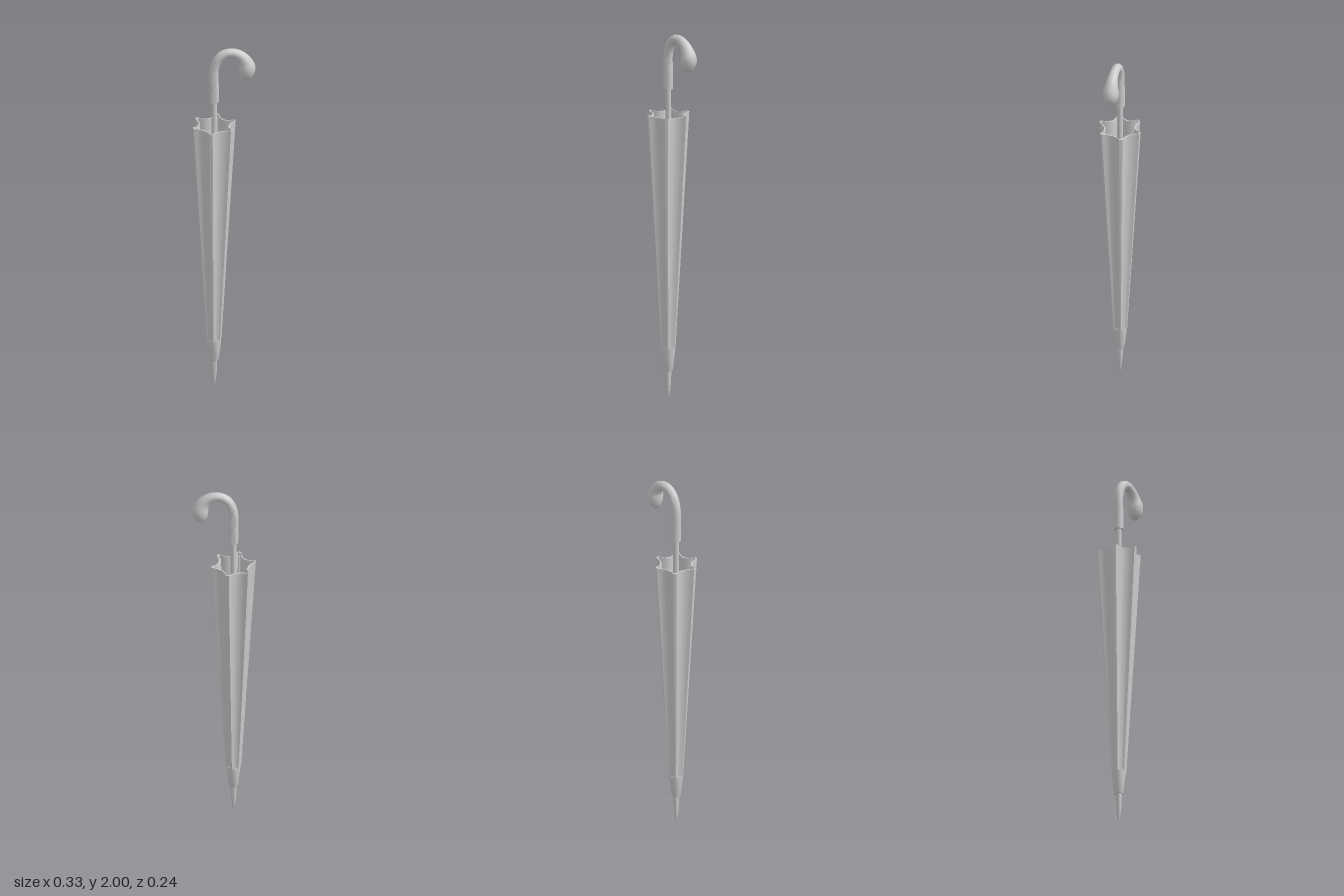
import * as THREE from 'three';
import { toCreasedNormals } from 'three/addons/utils/BufferGeometryUtils.js';

const AXIS_X = -0.05, AXIS_Z = 0.005, RIBS = 6;
const CANOPY_LOW = 0.28, CANOPY_TOP = 1.552;
const firstRib = THREE.MathUtils.degToRad(-18);
const material = new THREE.MeshStandardMaterial({ color: 0xcccccc, side: THREE.DoubleSide });

function add(parent, name, geometry) {
  const mesh = new THREE.Mesh(geometry, material);
  mesh.name = name;
  parent.add(mesh);
  return mesh;
}

// Skin a list of closed rings of points
function loft(rings, crease) {
  const n = rings[0].length, index = [];
  for (let i = 0; i < rings.length - 1; i++) {
    for (let j = 0; j < n; j++) {
      const a = i * n + j, b = i * n + (j + 1) % n;
      index.push(a, a + n, b, b, a + n, b + n);
    }
  }
  const g = new THREE.BufferGeometry().setFromPoints(rings.flat());
  g.setIndex(index);
  return toCreasedNormals(g, crease);
}

function lathe(points, sides) {
  const g = new THREE.LatheGeometry(points.map(([r, y]) => new THREE.Vector2(r, y)), sides);
  return toCreasedNormals(g, 0.6);
}

// One fold of the cloth: [angle as a fraction of the period, radius at the rim]
const fold = [[-0.5, 0.083], [-0.36, 0.086], [-0.24, 0.092], [-0.15, 0.102], [-0.07, 0.119],
  [0.07, 0.119], [0.15, 0.102], [0.24, 0.092], [0.36, 0.086]];

function canopyRing(t, inset) {
  const ring = [];
  for (let k = 0; k < RIBS; k++) {
    for (const [f, rim] of fold) {
      const a = firstRib + (k + f) * Math.PI * 2 / RIBS;
      const low = 0.033 + (rim - 0.083) * 0.22;
      const r = THREE.MathUtils.lerp(low, rim, t) - inset;
      const wave = t === 1 ? (rim - 0.1) * 0.2 : 0;
      const y = THREE.MathUtils.lerp(CANOPY_LOW, CANOPY_TOP, t) + wave;
      ring.push(new THREE.Vector3(Math.cos(a) * r, y, Math.sin(a) * r));
    }
  }
  return ring;
}

// Curved grip: [x, y, radius] along the path, relative to the shaft
const grip = [[0, 1.69, 0.025], [0, 1.78, 0.025], [0, 1.88, 0.024], [0.02, 1.938, 0.024],
  [0.05, 1.967, 0.024], [0.09, 1.976, 0.024], [0.132, 1.961, 0.027], [0.162, 1.928, 0.034],
  [0.175, 1.888, 0.043], [0.172, 1.853, 0.038], [0.169, 1.832, 0.027], [0.168, 1.815, 0.01]];

function gripGeometry() {
  const path = new THREE.CatmullRomCurve3(grip.map(([x, y]) => new THREE.Vector3(x, y, 0)), false, 'centripetal');
  const radii = new THREE.CatmullRomCurve3(grip.map((p, i) => new THREE.Vector3(i, p[2], 0)));
  const steps = (grip.length - 1) * 3, sides = 14, rings = [];
  const ringAt = (t, scale) => {
    const c = path.getPoint(t), d = path.getTangent(t), r = radii.getPoint(t).y * scale;
    return Array.from({ length: sides }, (_, j) => {
      const a = j / sides * Math.PI * 2, u = Math.cos(a) * r;
      return new THREE.Vector3(c.x + d.y * u, c.y - d.x * u, Math.sin(a) * r);
    });
  };
  rings.push(ringAt(0, 0));
  for (let i = 0; i <= steps; i++) rings.push(ringAt(i / steps, 1));
  rings.push(ringAt(1, 0));
  return loft(rings, 0.9);
}

export function createModel() {
  const model = new THREE.Group();
  model.name = 'closedUmbrella';
  const body = new THREE.Group();
  body.name = 'umbrellaBody';
  body.position.set(AXIS_X, 0, AXIS_Z);
  model.add(body);

  // Pleated cloth with thickness and a wavy rim
  add(body, 'canopy', loft([canopyRing(0, 0), canopyRing(0.5, 0), canopyRing(1, 0),
    canopyRing(1, 0.007), canopyRing(0.5, 0.006), canopyRing(0, 0.005)], 0.7));

  // Ribs lying inside the fold crests
  const ribs = new THREE.Group();
  ribs.name = 'ribs';
  body.add(ribs);
  for (let k = 0; k < RIBS; k++) {
    const a = firstRib + k * Math.PI * 2 / RIBS;
    const low = new THREE.Vector3(Math.cos(a) * 0.026, 0.3, Math.sin(a) * 0.026);
    const high = new THREE.Vector3(Math.cos(a) * 0.105, 1.535, Math.sin(a) * 0.105);
    const holder = new THREE.Group();
    holder.rotation.y = -a;
    const rib = add(holder, 'rib', new THREE.BoxGeometry(0.009, low.distanceTo(high), 0.009));
    rib.position.set(0.0655, 0.9175, 0);
    rib.rotation.z = -Math.atan2(0.079, 1.235);
    ribs.add(holder);
  }

  // Shaft, collar and ferrule
  add(body, 'shaft', new THREE.CylinderGeometry(0.015, 0.015, 1.55, 16)).position.y = 0.925;
  add(body, 'collar', lathe([[0, 0.155], [0.022, 0.155], [0.025, 0.165], [0.037, 0.275],
    [0.037, 0.285], [0, 0.285]], 18));
  add(body, 'ferrule', lathe([[0, 0], [0.004, 0.008], [0.011, 0.05], [0.014, 0.09], [0.017, 0.16]], 16));

  add(body, 'handle', gripGeometry());
  return model;
}
